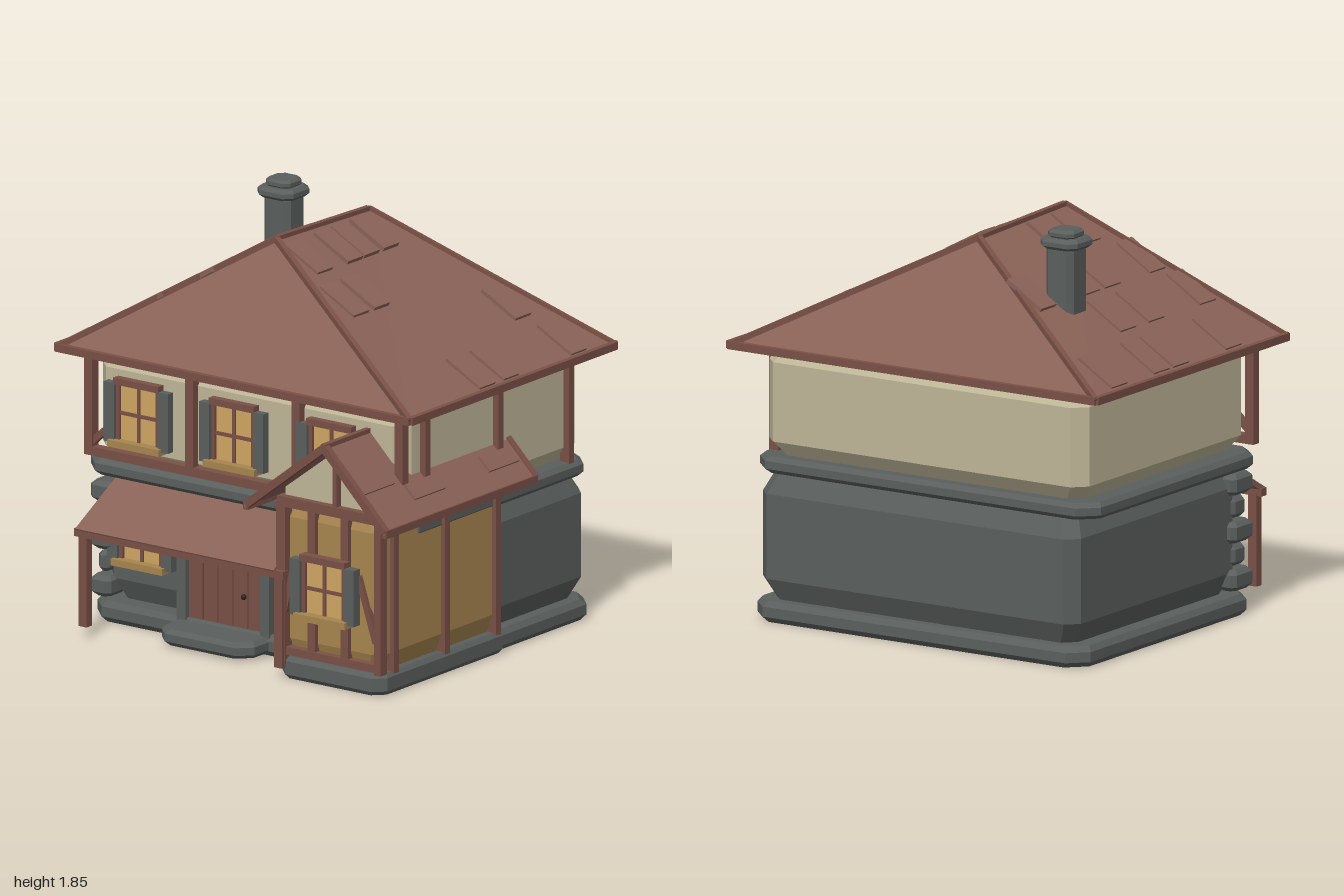
import * as THREE from 'three';
import { ConvexGeometry } from 'three/addons/geometries/ConvexGeometry.js';

const mat = (name, color, extra = {}) => {
  const m = new THREE.MeshStandardMaterial({ color, ...extra });
  m.name = name;
  return m;
};
const V = (x, y, z) => new THREE.Vector3(x, y, z);

export function createModel() {
  const root = new THREE.Group();
  root.name = 'house';
  const roofMat = mat('roofBrown', 0x8a6257, { side: THREE.DoubleSide });
  const wood = mat('timberBrown', 0x7a5046);
  const stone = mat('stoneGrey', 0x5a5f5d);
  const cream = mat('plasterCream', 0xbfb698);
  const tan = mat('plasterTan', 0xa8864f);
  const glass = mat('windowGold', 0xd0a662);
  const dark = mat('knobDark', 0x2e2725);

  const add = (name, geo, m, parent = root) => {
    const mesh = new THREE.Mesh(geo, m);
    mesh.name = name;
    parent.add(mesh);
    return mesh;
  };
  // Box given by its extents
  const box = (name, x0, x1, y0, y1, z0, z1, m, parent) => {
    const b = add(name, new THREE.BoxGeometry(x1 - x0, y1 - y0, z1 - z0), m, parent);
    b.position.set((x0 + x1) / 2, (y0 + y1) / 2, (z0 + z1) / 2);
    return b;
  };
  // Bar between two points
  const bar = (name, a, b, w, h, m = wood) => {
    const mesh = add(name, new THREE.BoxGeometry(w, h, a.distanceTo(b)), m);
    mesh.position.copy(a).lerp(b, 0.5);
    mesh.lookAt(b);
    return mesh;
  };
  // Block with cut corners (c) and sloped top and bottom rims (rim high, inset deep)
  const block = (name, x0, x1, y0, y1, z0, z1, c, rim, inset, m) => {
    const pts = [];
    for (const [y, i] of [[y0, inset], [y0 + rim, 0], [y1 - rim, 0], [y1, inset]]) {
      const [a, b, d, e] = [x0 + i, x1 - i, z0 + i, z1 - i];
      for (const [x, s] of [[a, 1], [b, -1]]) for (const [z, t] of [[d, 1], [e, -1]])
        pts.push(V(x + s * c, y, z), V(x, y, z + t * c));
    }
    return add(name, new ConvexGeometry(pts), m);
  };

  // Main body
  block('base', -0.87, 0.88, 0, 0.095, -0.815, 0.56, 0.08, 0.025, 0.02, stone);
  block('lowerWall', -0.82, 0.85, 0.08, 0.68, -0.79, 0.5, 0.055, 0.11, 0.05, stone);
  block('stoneBand', -0.905, 0.885, 0.66, 0.735, -0.785, 0.56, 0.08, 0.02, 0.02, stone);
  block('upperWall', -0.84, 0.84, 0.73, 1.225, -0.76, 0.54, 0.06, 0.07, 0.05, cream);

  // Corner stones at the front left
  for (let i = 0; i < 5; i++) {
    const o = i % 2 ? 0.025 : 0;
    const y = 0.11 + i * 0.107;
    block('cornerStone', -0.86 + o, -0.75 - o, y, y + 0.095, 0.4 + o, 0.56 - o, 0.02, 0.02, 0.02, stone);
  }

  // Main hipped roof
  const FL = V(-0.98, 1.23, 0.635), FR = V(0.95, 1.23, 0.635);
  const BR = V(0.95, 1.23, -0.855), BL = V(-0.98, 1.23, -0.855);
  const RF = V(-0.085, 1.785, 0.23), RB = V(-0.085, 1.765, -0.44);
  const roofGeo = new THREE.BufferGeometry().setFromPoints([
    FL, FR, RF, BR, BL, RB, FR, BR, RB, FR, RB, RF, BL, FL, RF, BL, RF, RB]);
  roofGeo.computeVertexNormals();
  add('mainRoof', roofGeo, roofMat);
  for (const [a, b] of [[FL, FR], [FR, BR], [BR, BL], [BL, FL]]) bar('eaveTrim', a, b, 0.025, 0.035);
  for (const [a, b] of [[FL, RF], [FR, RF], [BR, RB], [BL, RB], [RF, RB]]) bar('ridgeTrim', a, b, 0.025, 0.025);

  // Raised tiles on the side slopes
  const tile = (x, y, z, angle, w, d) => {
    const t = add('roofTile', new THREE.BoxGeometry(w, 0.02, d), roofMat);
    t.position.set(x, y, z);
    t.rotation.z = angle;
  };
  const rightTiles = [[0.05, -0.3], [0.05, -0.16], [0.05, -0.04], [0.05, 0.18], [0.3, 0.1], [0.3, 0.25],
    [0.58, -0.55], [0.83, -0.62], [0.83, -0.13], [0.83, 0.04]];
  const leftTiles = [[-0.86, -0.63], [-0.86, -0.3], [-0.86, -0.15], [-0.86, 0.26], [-0.63, -0.22], [-0.63, 0],
    [-0.63, 0.4], [-0.42, -0.53], [-0.42, -0.19], [-0.42, -0.03], [-0.42, 0.32], [-0.2, -0.05], [-0.2, 0.14]];
  for (const [x, z] of rightTiles) tile(x, 1.785 - (x + 0.085) * 0.536, z, -0.492, 0.21, 0.11);
  for (const [x, z] of leftTiles) tile(x, 1.785 + (x + 0.085) * 0.62, z, 0.555, 0.21, 0.12);

  // Chimney
  block('chimneyStack', -0.575, -0.43, 1.35, 1.78, -0.45, -0.31, 0.025, 0.02, 0.005, stone);
  block('chimneyCap', -0.6, -0.405, 1.765, 1.815, -0.47, -0.285, 0.035, 0.015, 0.015, stone);
  block('chimneyTop', -0.57, -0.435, 1.81, 1.85, -0.445, -0.315, 0.025, 0.012, 0.012, stone);

  // Upper floor timbers
  for (const x of [-0.85, -0.3, 0.28, 0.84]) box('frontPost', x - 0.022, x + 0.022, 0.75, 1.23, 0.53, 0.575, wood);
  box('frontSillBeam', -0.87, 0.32, 0.75, 0.79, 0.53, 0.575, wood);
  bar('frontBrace', V(-0.85, 0.8, 0.55), V(-0.75, 0.89, 0.55), 0.03, 0.03);
  for (const z of [0.4, -0.13, -0.64]) box('sidePost', 0.82, 0.87, 0.73, 1.23, z - 0.018, z + 0.018, wood);

  // Window with frame, sill and shutters
  const windowAt = (x, y0, y1, z, shutters = [-1, 1]) => {
    const g = new THREE.Group();
    g.name = 'window';
    root.add(g);
    const w = 0.108, ym = (y0 + y1) / 2;
    box('pane', x - w, x + w, y0, y1, z, z + 0.009, glass, g);
    box('mullion', x - 0.008, x + 0.008, y0, y1, z, z + 0.016, wood, g);
    box('crossbar', x - w, x + w, ym - 0.008, ym + 0.008, z, z + 0.016, wood, g);
    box('lintel', x - w - 0.015, x + w + 0.015, y1 - 0.005, y1 + 0.025, z - 0.01, z + 0.035, wood, g);
    for (const s of [-1, 1]) box('frameSide', x + s * w - 0.009, x + s * w + 0.009, y0, y1, z - 0.01, z + 0.022, wood, g);
    for (const s of shutters) box('shutter', x + s * 0.147 - 0.028, x + s * 0.147 + 0.028, y0, y1, z - 0.01, z + 0.035, stone, g);
    box('sill', x - 0.14, x + 0.14, y0 - 0.015, y0 + 0.015, z - 0.01, z + 0.055, tan, g);
  };
  for (const x of [-0.59, -0.07, 0.46]) windowAt(x, 0.83, 1.1, 0.542);
  windowAt(-0.6, 0.28, 0.53, 0.505);

  // Front bay
  block('bayBase', 0.33, 0.9, 0, 0.1, -0.15, 0.785, 0.05, 0.02, 0.015, stone);
  block('bayWall', 0.34, 0.878, 0.09, 0.82, -0.13, 0.76, 0.05, 0.09, 0.03, tan);
  const extrude = (name, pts, z0, z1, m) => {
    const s = new THREE.Shape(pts.map(p => new THREE.Vector2(...p)));
    add(name, new THREE.ExtrudeGeometry(s, { depth: z1 - z0, bevelEnabled: false }), m).position.z = z0;
  };
  extrude('bayGable', [[0.36, 0.8], [0.88, 0.8], [0.88, 0.86], [0.65, 1.08], [0.36, 0.86]], 0.5, 0.755, cream);
  extrude('bayRoof', [[0.22, 0.765], [0.65, 1.09], [0.98, 0.765], [0.985, 0.79], [0.65, 1.12], [0.215, 0.79]], -0.235, 0.865, roofMat);
  for (const x of [0.225, 0.98]) {
    for (const z of [0.855, -0.225]) if (z > 0 || x > 0.5) bar('bargeBoard', V(x, 0.78, z), V(0.65, 1.11, z), 0.03, 0.035);
    bar('bayEaveTrim', V(x, 0.775, x > 0.5 ? -0.235 : 0.55), V(x, 0.775, 0.865), 0.025, 0.035);
  }
  bar('bayRidge', V(0.65, 1.115, 0.54), V(0.65, 1.115, 0.868), 0.025, 0.025);
  tile(0.79, 0.985, 0.73, -0.777, 0.17, 0.22);
  for (const z of [0.46, -0.08]) tile(0.895, 0.882, z, -0.777, 0.08, 0.22);

  // Bay timbers
  box('bayPostLeft', 0.335, 0.385, 0.06, 0.8, 0.74, 0.79, wood);
  box('bayPostRight', 0.868, 0.903, 0.1, 0.8, 0.74, 0.79, wood);
  for (const x of [0.52, 0.7]) box('bayStud', x - 0.02, x + 0.02, 0.13, 0.8, 0.74, 0.78, wood);
  box('gablePost', 0.638, 0.662, 0.8, 1.09, 0.74, 0.785, wood);
  box('gableBeam', 0.34, 0.89, 0.78, 0.825, 0.74, 0.79, wood);
  box('bayFootBeam', 0.36, 0.89, 0.11, 0.145, 0.74, 0.785, wood);
  bar('bayBrace', V(0.42, 0.53, 0.765), V(0.36, 0.24, 0.765), 0.03, 0.025);
  bar('bayBrace', V(0.77, 0.53, 0.765), V(0.865, 0.24, 0.765), 0.03, 0.025);
  for (const z of [0.67, 0.3, -0.07]) box('baySidePost', 0.85, 0.9, 0.09, 0.79, z - 0.018, z + 0.018, wood);
  windowAt(0.605, 0.31, 0.565, 0.785);

  // Porch
  bar('porchRoof', V(-0.2, 0.66, 0.49), V(-0.2, 0.48, 0.81), 1.08, 0.025, roofMat);
  box('porchBeam', -0.75, 0.39, 0.455, 0.49, 0.775, 0.812, wood);
  for (const x of [-0.705, 0.36]) box('porchPost', x - 0.022, x + 0.022, 0.05, 0.47, 0.77, 0.81, wood);
  block('step', -0.385, 0.12, 0.01, 0.085, 0.45, 0.72, 0.06, 0.02, 0.02, stone);

  // Door
  for (const x of [-0.36, 0.095]) box('doorJamb', x - 0.025, x + 0.025, 0.06, 0.6, 0.45, 0.555, stone);
  for (let i = 0; i < 5; i++) {
    const x = -0.335 + i * 0.081;
    box('doorPlank', x, x + 0.075, 0.08, 0.58, 0.49, 0.53, wood);
  }
  box('doorGaps', -0.335, 0.07, 0.08, 0.58, 0.5, 0.522, dark);
  const knob = add('doorKnob', new THREE.SphereGeometry(0.013, 8, 6), dark);
  knob.position.set(-0.03, 0.24, 0.538);
  return root;
}
